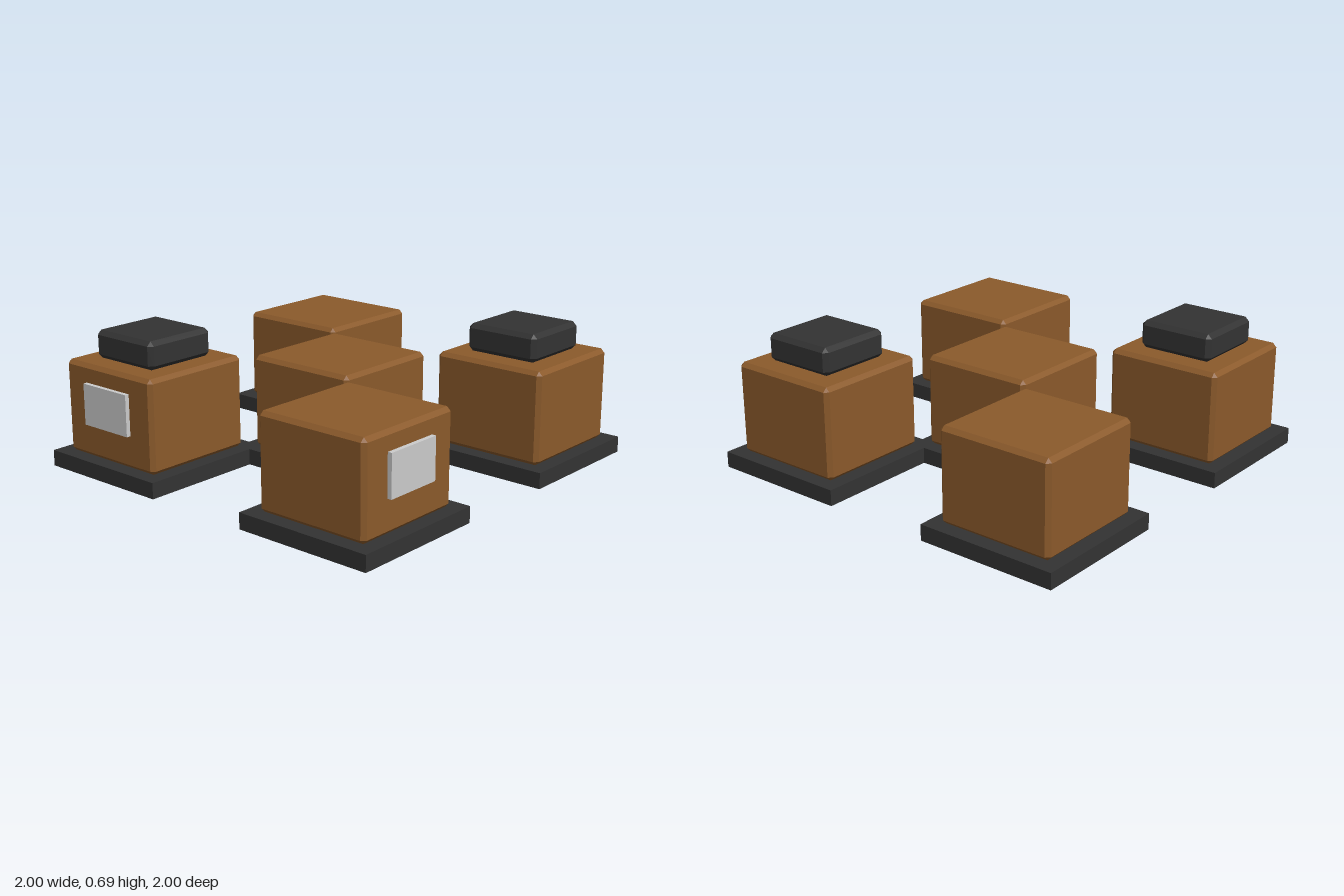
import * as THREE from 'three';
import { ConvexGeometry } from 'three/addons/geometries/ConvexGeometry.js';

const brown = new THREE.MeshStandardMaterial({ color: 0x8b5a2b });
const dark = new THREE.MeshStandardMaterial({ color: 0x333333 });
const grey = new THREE.MeshStandardMaterial({ color: 0xcccccc });

// Box with every edge chamfered by c: each corner becomes three points
function chamferBox(w, h, d, c) {
  const points = [];
  for (const sx of [-1, 1]) for (const sy of [-1, 1]) for (const sz of [-1, 1]) {
    for (const [ix, iy, iz] of [[0, c, c], [c, 0, c], [c, c, 0]]) {
      points.push(new THREE.Vector3(sx * (w / 2 - ix), sy * (h / 2 - iy), sz * (d / 2 - iz)));
    }
  }
  return new ConvexGeometry(points);
}

export function createModel() {
  const model = new THREE.Group();
  model.name = 'crateCluster';

  const add = (parent, name, geometry, material, x, y, z) => {
    const mesh = new THREE.Mesh(geometry, material);
    mesh.name = name;
    mesh.position.set(x, y, z);
    parent.add(mesh);
  };

  const baseGeo = new THREE.BoxGeometry(0.72, 0.08, 0.72);
  const crateGeo = chamferBox(0.6, 0.465, 0.6, 0.02);
  const capGeo = chamferBox(0.394, 0.14, 0.394, 0.022);

  // Five crates on bases: the centre and four corners
  const o = 0.64;
  const units = [
    { name: 'centreCrate', x: 0, z: 0 },
    { name: 'backRightCrate', x: -o, z: -o },
    { name: 'backLeftCrate', x: o, z: -o, cap: true },
    { name: 'frontRightCrate', x: -o, z: o, cap: true, panel: 'front' },
    { name: 'frontLeftCrate', x: o, z: o, panel: 'side' },
  ];
  for (const u of units) {
    const unit = new THREE.Group();
    unit.name = u.name;
    unit.position.set(u.x, 0, u.z);
    add(unit, 'base', baseGeo, dark, 0, 0.04, 0);
    add(unit, 'crate', crateGeo, brown, 0, 0.3125, 0);
    if (u.cap) add(unit, 'cap', capGeo, dark, 0, 0.617, 0);
    // Thin label plates on the outer walls
    if (u.panel === 'front') add(unit, 'panel', new THREE.BoxGeometry(0.3, 0.206, 0.03), grey, 0, 0.35, 0.307);
    if (u.panel === 'side') add(unit, 'panel', new THREE.BoxGeometry(0.03, 0.206, 0.3), grey, 0.307, 0.35, 0);
    model.add(unit);
  }
  return model;
}
